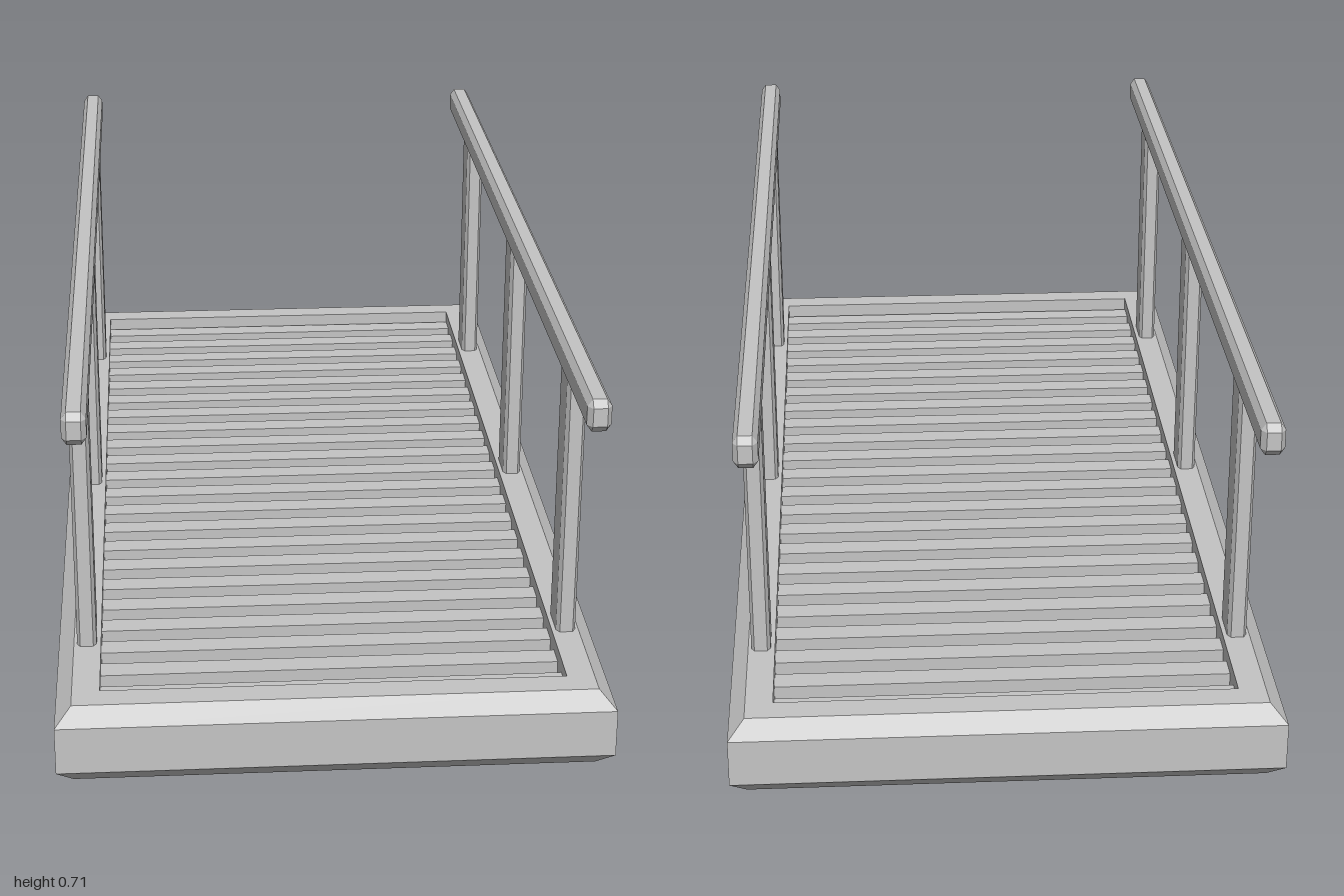
import * as THREE from 'three';
import { ConvexGeometry } from 'three/addons/geometries/ConvexGeometry.js';

const metal = new THREE.MeshStandardMaterial({ color: 0xc4c4c4 });
metal.name = 'light grey metal';

function addMesh(parent, name, geometry, x = 0, y = 0, z = 0) {
  const mesh = new THREE.Mesh(geometry, metal);
  mesh.name = name;
  mesh.position.set(x, y, z);
  parent.add(mesh);
  return mesh;
}

// Box with flat chamfers of cx, cy, cz along each axis
function chamferBox(w, h, d, cx, cy, cz) {
  const points = [];
  for (const sx of [-1, 1]) for (const sy of [-1, 1]) for (const sz of [-1, 1]) {
    points.push(
      new THREE.Vector3(sx * w / 2, sy * (h / 2 - cy), sz * (d / 2 - cz)),
      new THREE.Vector3(sx * (w / 2 - cx), sy * h / 2, sz * (d / 2 - cz)),
      new THREE.Vector3(sx * (w / 2 - cx), sy * (h / 2 - cy), sz * d / 2),
    );
  }
  return new ConvexGeometry(points);
}

// Upright post with only its vertical edges chamfered
function postGeometry(w, h, d, cx, cz) {
  const points = [];
  for (const y of [-h / 2, h / 2]) for (const sx of [-1, 1]) for (const sz of [-1, 1]) {
    points.push(
      new THREE.Vector3(sx * w / 2, y, sz * (d / 2 - cz)),
      new THREE.Vector3(sx * (w / 2 - cx), y, sz * d / 2),
    );
  }
  return new ConvexGeometry(points);
}

// Rectangular ring swept from a closed profile of [inset, height]
function frameGeometry(halfX, halfZ, profile) {
  const corners = [[1, 1], [1, -1], [-1, -1], [-1, 1]];
  const at = ([inset, y], [sx, sz]) => [sx * (halfX - inset), y, sz * (halfZ - inset)];
  const positions = [];
  profile.forEach((p, i) => {
    const q = profile[(i + 1) % profile.length];
    corners.forEach((c, j) => {
      const n = corners[(j + 1) % 4];
      const [a, b, e, f] = [at(p, c), at(p, n), at(q, n), at(q, c)];
      positions.push(...a, ...b, ...e, ...a, ...e, ...f);
    });
  });
  const geometry = new THREE.BufferGeometry();
  geometry.setAttribute('position', new THREE.Float32BufferAttribute(positions, 3));
  geometry.computeVertexNormals();
  return geometry;
}

export function createModel() {
  const model = new THREE.Group();
  model.name = 'walkway';

  // Bevelled deck frame, open in the middle
  addMesh(model, 'deckFrame', frameGeometry(0.5, 1, [
    [0.03, 0], [0, 0.03], [0, 0.12], [0.03, 0.15], [0.08, 0.15], [0.08, 0],
  ]));

  // Cross slats recessed inside the frame
  const slats = new THREE.Group();
  slats.name = 'deckSlats';
  model.add(slats);
  const slat = new THREE.BoxGeometry(0.86, 0.045, 0.045);
  const count = 22;
  for (let i = 0; i < count; i++) {
    addMesh(slats, 'slat', slat, 0, 0.103, -0.891 + i * (1.777 / (count - 1)));
  }

  // Handrails, each on three posts
  const post = postGeometry(0.036, 0.53, 0.084, 0.006, 0.01);
  const rail = chamferBox(0.043, 0.06, 1.967, 0.009, 0.013, 0.012);
  for (const side of [-1, 1]) {
    const railing = new THREE.Group();
    railing.name = side > 0 ? 'leftRailing' : 'rightRailing';
    railing.position.x = side * 0.446;
    model.add(railing);
    for (const z of [-0.698, 0.008, 0.714]) addMesh(railing, 'post', post, 0, 0.4, z);
    addMesh(railing, 'handrail', rail, 0, 0.68, -0.008);
  }
  return model;
}
